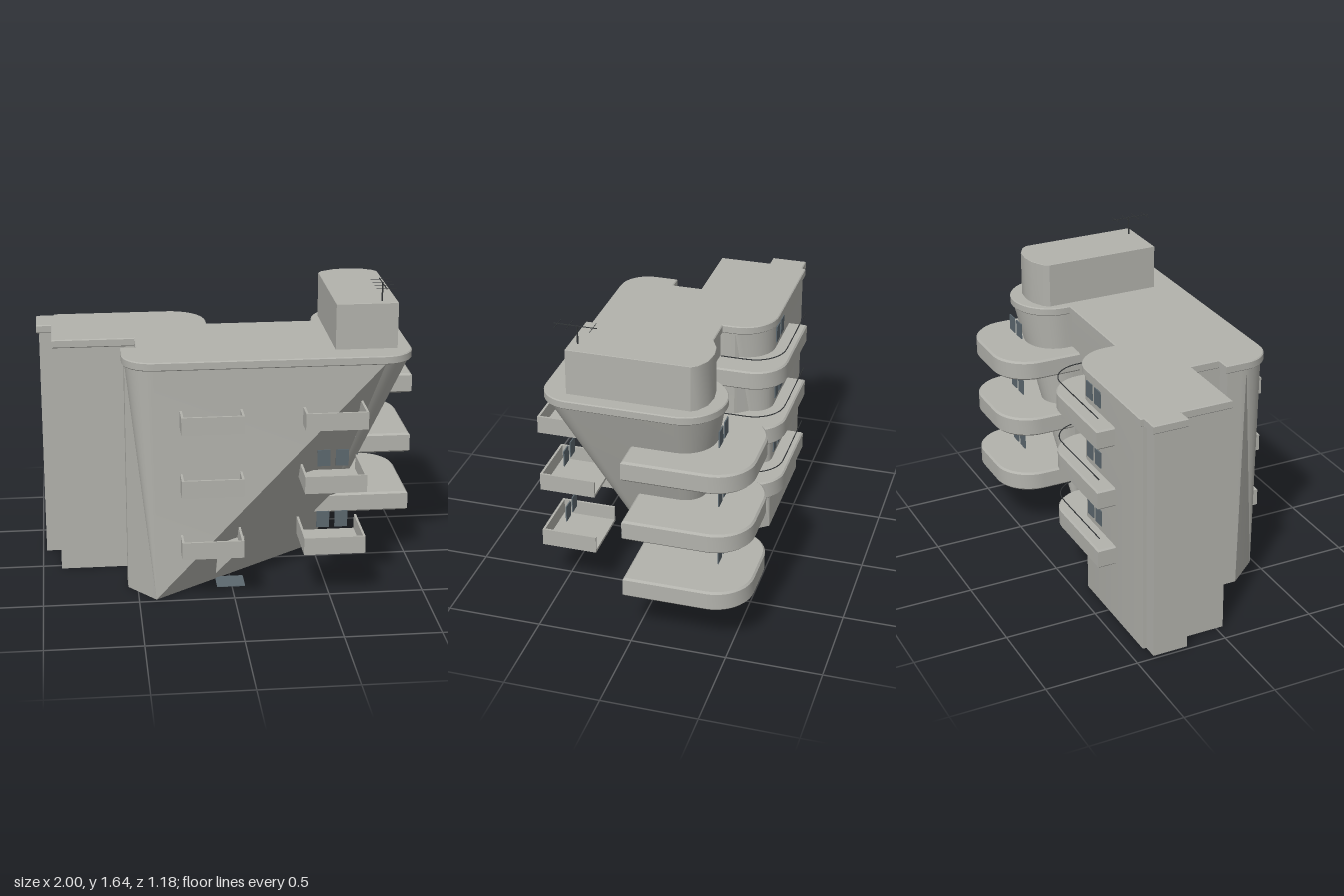
import * as THREE from 'three';
import { toCreasedNormals } from 'three/addons/utils/BufferGeometryUtils.js';

const mat = (name, color) => {
  const m = new THREE.MeshStandardMaterial({ color, side: THREE.DoubleSide });
  m.name = name;
  return m;
};
const concrete = mat('concrete', 0xb2b2ac);
const glass = mat('window glass', 0x5c686f);
const metal = mat('dark metal', 0x333638);

const EAVES = 1.26, STOREY = 0.34;
const A = [-0.41, 0.48]; // front foot of the leaning wall
const P = [0.49, -0.15]; // point on which the tapering corner stands

// points [x, z] on an ellipse, angles in degrees
function arc(cx, cz, rx, rz, from, to, n = 10) {
  return Array.from({ length: n + 1 }, (_, i) => {
    const a = THREE.MathUtils.degToRad(from + (to - from) * i / n);
    return [cx + rx * Math.cos(a), cz + rz * Math.sin(a)];
  });
}

// plan of the building as [top point, base point] pairs, widened by o
function plan(o) {
  const onto = (pts, base) => pts.map((p) => [p, base]);
  const plumb = (pts) => pts.map((p) => [p, p]);
  return [
    ...onto(arc(-0.41, 0.34, 0.14 + o, 0.14 + o, 180, 90), A),
    [[0.77, 0.48 + o], A],
    ...onto(arc(0.77, 0.34, 0.14 + o, 0.14 + o, 90, 0), P),
    ...onto(arc(0.705, -0.2, 0.205 + o, 0.2 + o, 0, -180, 20), P),
    [[0.5 - o, -0.16 - o], P],
    ...plumb([[-0.1 + o, -0.16 - o], [-0.1 + o, -0.24]]),
    ...onto(arc(-0.28, -0.24, 0.18 + o, 0.18 + o, 0, -90), [-0.24, -0.42]),
    ...plumb([[-0.9, -0.42 - o], [-0.9, -0.4 - o], [-0.98 - o, -0.4 - o], [-0.98 - o, -0.21 - o],
      [-0.9 - o, -0.21 - o], [-0.9 - o, 0.04 + o], [-0.47 - o, 0.04 + o], [-0.47 - o, 0.23 - o],
      [-0.55 - o, 0.23 - o], [-0.55 - o, 0.31]]),
  ];
}

const distinct = (pts) => pts.filter((p, i) => {
  const q = pts[(i + 1) % pts.length];
  return Math.hypot(p[0] - q[0], p[1] - q[1]) > 1e-4;
});
const shapeOf = (pts) => new THREE.Shape(distinct(pts).map((p) => new THREE.Vector2(...p)));

// horizontal slab with slightly bevelled rims
function slab(pts, y0, y1, bevel) {
  const g = new THREE.ExtrudeGeometry(shapeOf(pts), {
    depth: y1 - y0 - 2 * bevel, bevelEnabled: true, bevelSize: bevel,
    bevelThickness: bevel, bevelOffset: -bevel, bevelSegments: 1,
  });
  g.rotateX(Math.PI / 2).translate(0, y1 - bevel, 0);
  return toCreasedNormals(g, 0.5);
}

// geometry from flat polygons, each given as a fan of corners
function facets(polys) {
  const out = [], tri = new THREE.Triangle();
  for (const poly of polys) {
    for (let i = 1; i < poly.length - 1; i++) {
      const c = [poly[0], poly[i], poly[i + 1]].map((p) => new THREE.Vector3(...p));
      if (tri.set(...c).getArea() > 1e-7) c.forEach((v) => out.push(v.x, v.y, v.z));
    }
  }
  const g = new THREE.BufferGeometry();
  g.setAttribute('position', new THREE.Float32BufferAttribute(out, 3));
  g.computeVertexNormals();
  return g;
}

export function createModel() {
  const model = new THREE.Group();
  model.name = 'apartmentBlock';
  const add = (name, geo, material = concrete) => {
    const mesh = new THREE.Mesh(geo, material);
    mesh.name = name;
    model.add(mesh);
    return mesh;
  };
  const box = (name, x0, x1, y0, y1, z0, z1, material) =>
    add(name, new THREE.BoxGeometry(x1 - x0, y1 - y0, z1 - z0)
      .translate((x0 + x1) / 2, (y0 + y1) / 2, (z0 + z1) / 2), material);

  // walls between the base and the eaves
  const ring = plan(0);
  const walls = ring.map(([t0, b0], i) => {
    const [t1, b1] = ring[(i + 1) % ring.length];
    // the leaning triangle A-P is built separately
    if (b0 === A && b1 === P) return [];
    return [[b0[0], 0, b0[1]], [b1[0], 0, b1[1]], [t1[0], EAVES, t1[1]], [t0[0], EAVES, t0[1]]];
  });
  add('walls', toCreasedNormals(facets(walls), 0.45));
  add('underside', new THREE.ShapeGeometry(shapeOf(ring.map((r) => r[1]))).rotateX(Math.PI / 2));

  // leaning front wall with the opening of the entrance
  const lean = shapeOf([[A[0], 0], [P[0], 0], [0.77, EAVES]]);
  const opening = [[-0.08, 0.05], [0.07, 0.2], [0.07, 0.28], [-0.08, 0.28]];
  lean.holes.push(new THREE.Path(opening.map((p) => new THREE.Vector2(...p))));
  const leanZ = (x, y) => 0.48 - 0.5556 * ((x - A[0]) * 1.26 - y * 1.18);
  const leanGeo = new THREE.ShapeGeometry(lean);
  const pos = leanGeo.attributes.position;
  for (let i = 0; i < pos.count; i++) pos.setZ(i, leanZ(pos.getX(i), pos.getY(i)));
  leanGeo.computeVertexNormals();
  add('leaningWall', leanGeo);

  // entrance recess: back wall and reveals
  const back = opening.map(([x, y]) => [x, y, 0.29]);
  const rim = opening.map(([x, y]) => [x, y, leanZ(x, y)]);
  const reveals = [1, 2, 3].map((i) => {
    const j = (i + 1) % 4;
    return [rim[i], rim[j], back[j], back[i]];
  });
  add('entranceRecess', facets([back, ...reveals]));
  box('entranceMat', -0.08, 0.07, 0, 0.004, 0.23, 0.36, glass);

  // roof slab
  add('roof', slab(plan(0.015).map((r) => r[0]), EAVES, 1.305, 0.005));

  // roof house with a rounded back
  const house = slab([[0.53, 0.36], [0.85, 0.36], [0.85, -0.27], [0.83, -0.3], [0.77, -0.335],
    [0.69, -0.345], [0.62, -0.335], [0.55, -0.3], [0.53, -0.27]], 1.3, 1.545, 0.002);
  add('roofHouse', house);

  // aerial
  add('aerialMast', new THREE.CylinderGeometry(0.003, 0.005, 0.11, 6).translate(0.77, 1.59, 0.32), metal);
  box('aerialBoom', 0.768, 0.772, 1.638, 1.641, 0.22, 0.44, metal);
  for (let i = 0; i < 4; i++) {
    const z = 0.24 + i * 0.06;
    box('aerialRod', 0.72, 0.82, 1.638, 1.64, z, z + 0.002, metal);
  }

  // plans of the two stacks of back balconies
  const rightPlan = [[0.4, 0.04], [1, 0.04], ...arc(0.8, -0.39, 0.2, 0.2, 0, -90),
    ...arc(0.6, -0.39, 0.2, 0.2, -90, -180)];
  const leftEdge = [[-0.59, -0.51], ...arc(-0.14, -0.34, 0.17, 0.17, -90, 0), [0.03, -0.2]];
  const leftPlan = [[-0.59, -0.3], [-0.59, -0.52], ...arc(-0.14, -0.34, 0.18, 0.18, -90, 0),
    [0.04, -0.15], [-0.15, -0.15], [-0.2, -0.3]];

  const windowPair = (name, x, y, z) => {
    for (const dx of [0, 0.095]) box(name, x + dx, x + dx + 0.067, y, y + 0.088, z - 0.003, z + 0.003, glass);
  };

  for (let s = 0; s < 3; s++) {
    const y = 0.27 + s * STOREY;
    add('roundedBalcony', slab(rightPlan, y, y + 0.108, 0.01));
    windowPair('cornerWindow', 0.635, y + 0.145, -0.4);

    add('backBalcony', slab(leftPlan, y + 0.06, y + 0.165, 0.008));
    windowPair('backWindow', -0.43, y + 0.2, -0.424);
    const rail = new THREE.CatmullRomCurve3(leftEdge.map(([x, z]) => new THREE.Vector3(x, y + 0.235, z)),
      false, 'centripetal');
    add('handrail', new THREE.TubeGeometry(rail, 40, 0.003, 5), metal);

    // open trays on the front
    for (const x of [-0.28, 0.35]) {
      const x1 = x + 0.32, h = y + 0.093, w = 0.012;
      box('frontBalconyFloor', x, x1, y, y + 0.015, 0.295, 0.59);
      box('frontBalconyParapet', x, x1, y, h, 0.59 - w, 0.59);
      box('frontBalconySide', x, x + w, y, h, 0.295, 0.59 - w);
      box('frontBalconySide', x1 - w, x1, y, h, 0.295, 0.59 - w);
    }
    if (s < 2) windowPair('frontWindow', 0.427, y + 0.11, 0.485);
  }
  return model;
}
